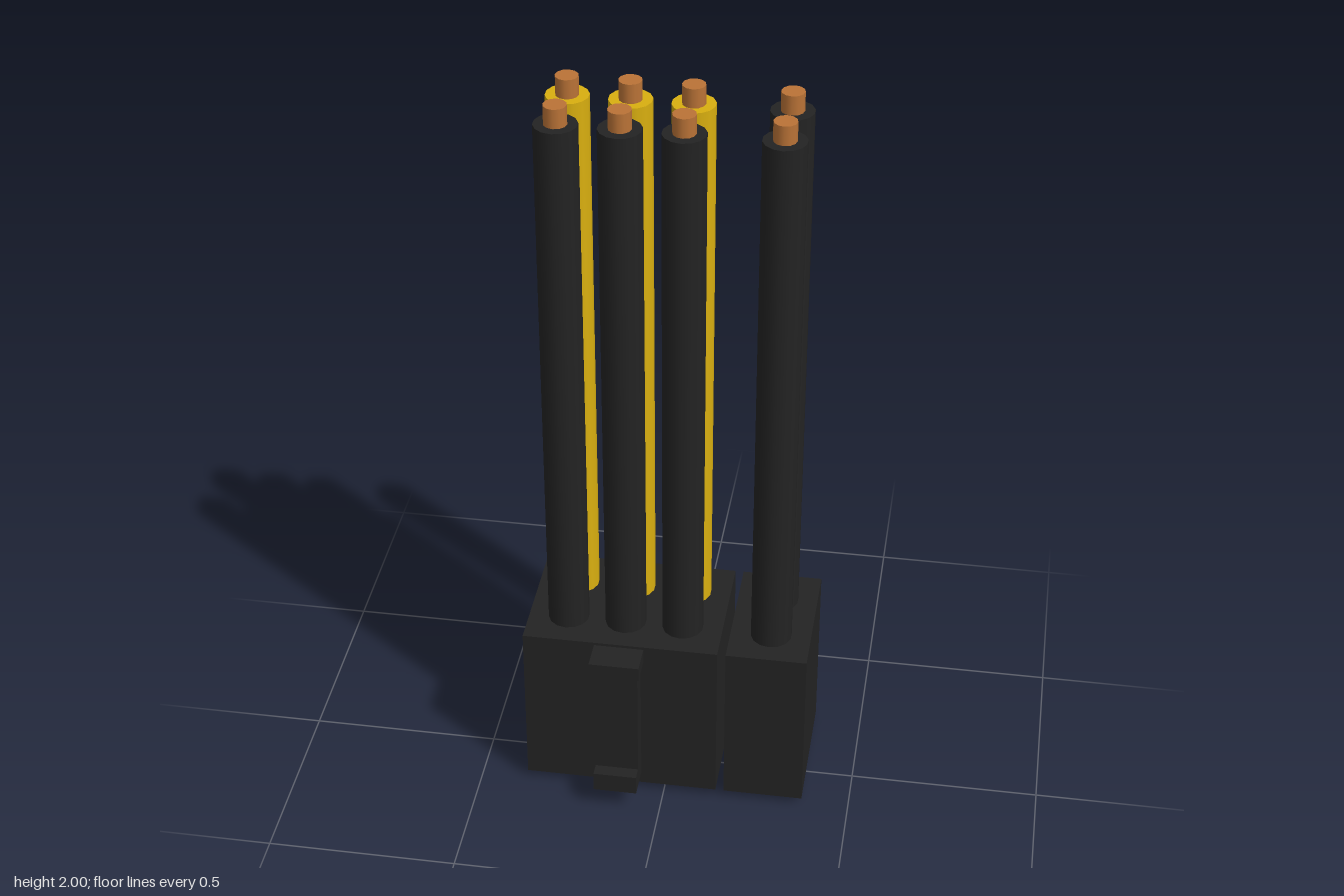
import * as THREE from 'three';

const material = (name, color) => {
  const m = new THREE.MeshStandardMaterial({ color });
  m.name = name;
  return m;
};

export function createModel() {
  const model = new THREE.Group();
  model.name = 'powerConnector';
  const black = material('black plastic', 0x232323);
  const yellow = material('yellow insulation', 0xd9af10);
  const copper = material('copper', 0xba7337);
  const metal = material('grey metal', 0x777777);

  const add = (parent, name, geometry, mat, x = 0, y = 0, z = 0) => {
    const mesh = new THREE.Mesh(geometry, mat);
    mesh.name = name;
    mesh.position.set(x, y, z);
    parent.add(mesh);
    return mesh;
  };
  // Box given by its limits on each axis
  const box = (parent, name, [x0, x1], [y0, y1], [z0, z1], mat = black) =>
    add(parent, name, new THREE.BoxGeometry(x1 - x0, y1 - y0, z1 - z0), mat,
      (x0 + x1) / 2, (y0 + y1) / 2, (z0 + z1) / 2);

  // Two separate housing blocks
  box(model, 'mainHousing', [-0.375, 0.141], [0.02, 0.49], [-0.23, 0.133]);
  box(model, 'sideHousing', [0.163, 0.375], [0.02, 0.49], [-0.23, 0.133]);

  // Latch on the front of the main housing
  const latch = new THREE.Group();
  latch.name = 'latch';
  model.add(latch);
  box(latch, 'latchThumbTab', [-0.183, -0.052], [0.45, 0.49], [0.142, 0.222]);
  box(latch, 'latchArm', [-0.175, -0.06], [0.1, 0.45], [0.142, 0.195]);
  box(latch, 'latchHook', [-0.175, -0.06], [0.065, 0.12], [0.142, 0.23]);

  // Socket collar: chamfered square with a square opening
  const h = 0.06, c = 0.022, o = 0.027;
  const outline = new THREE.Shape([
    [-h, -h + c], [-h + c, -h], [h - c, -h], [h, -h + c],
    [h, h - c], [h - c, h], [-h + c, h], [-h, h - c],
  ].map(([x, y]) => new THREE.Vector2(x, y)));
  outline.holes.push(new THREE.Path(
    [[-o, -o], [-o, o], [o, o], [o, -o]].map(([x, y]) => new THREE.Vector2(x, y))));
  const collar = new THREE.ExtrudeGeometry(outline, { depth: 0.02, bevelEnabled: false });
  collar.rotateX(-Math.PI / 2);

  const insulation = new THREE.CylinderGeometry(0.054, 0.054, 1.46, 14);
  const core = new THREE.CylinderGeometry(0.029, 0.029, 0.06, 12);
  const contact = new THREE.BoxGeometry(0.046, 0.01, 0.046);

  // One wire and socket for every position
  for (const x of [-0.27, -0.117, 0.035, 0.27]) {
    for (const z of [-0.125, 0.027]) {
      const line = new THREE.Group();
      line.name = 'wire';
      line.position.set(x, 0, z);
      model.add(line);
      add(line, 'insulation', insulation, z < 0 && x < 0.2 ? yellow : black, 0, 1.22);
      add(line, 'copperCore', core, copper, 0, 1.97);
      add(line, 'socketCollar', collar, black);
      add(line, 'socketContact', contact, metal, 0, 0.016);
    }
  }
  return model;
}
